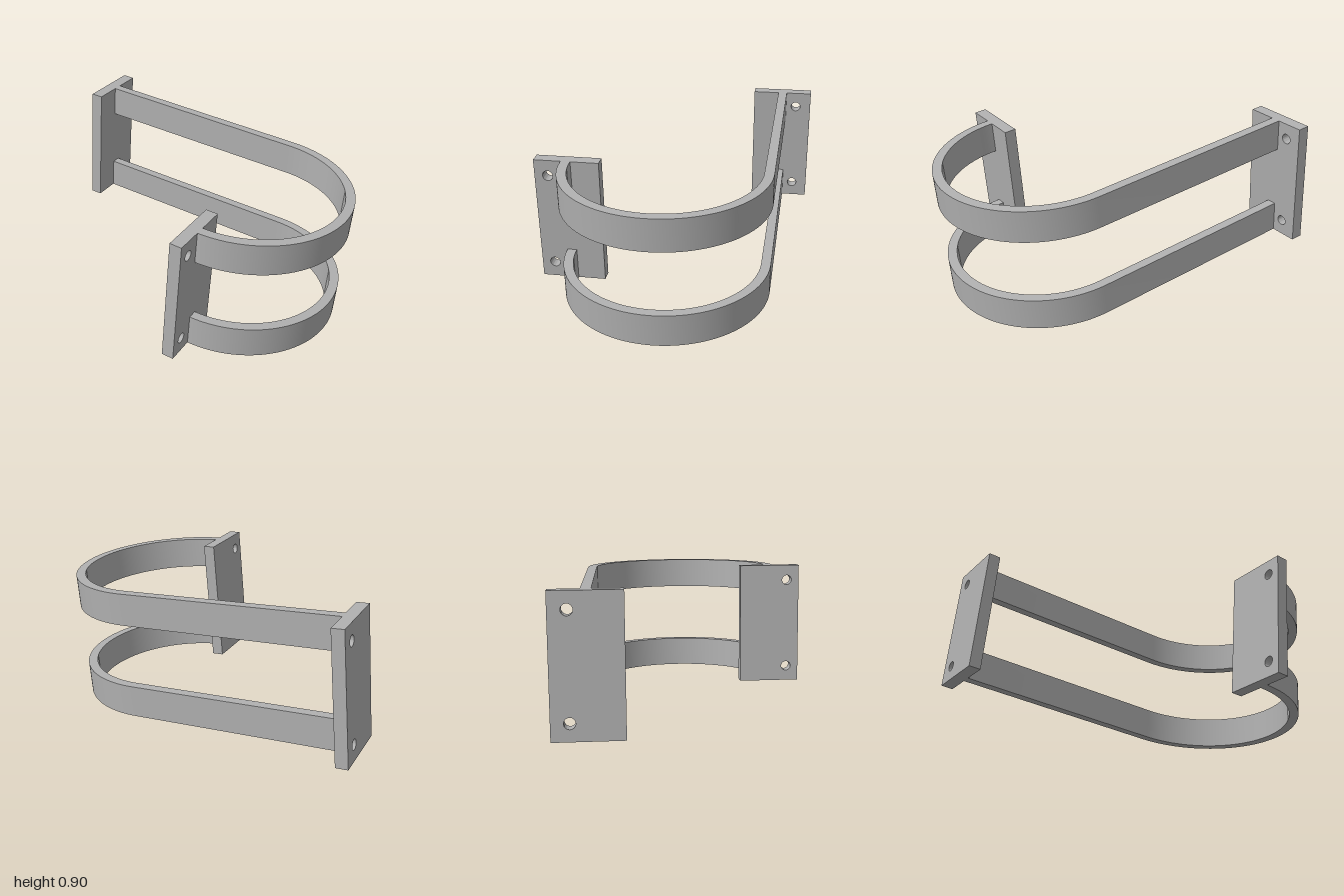
import * as THREE from 'three';
import { toCreasedNormals } from 'three/addons/utils/BufferGeometryUtils.js';

const HEIGHT = 0.75, BAND = 0.187, PLATE = 0.07;
const R_OUT = 0.593, R_IN = 0.538, BEND_X = 1.352;
const TILT = THREE.MathUtils.degToRad(4.5);

// Extrude with smooth curves and sharp edges
function extrude(shape, depth) {
  return new THREE.ExtrudeGeometry(shape, { depth, bevelEnabled: false, curveSegments: 48 });
}

// Hook-shaped strap: straight run along the back, then a half circle to the front
function strapGeometry() {
  const s = new THREE.Shape();
  s.moveTo(PLATE, R_IN);
  s.lineTo(BEND_X, R_IN);
  s.absarc(BEND_X, 0, R_IN, Math.PI / 2, -Math.PI / 2, true);
  s.lineTo(BEND_X, -R_OUT);
  s.absarc(BEND_X, 0, R_OUT, -Math.PI / 2, Math.PI / 2, false);
  s.lineTo(PLATE, R_OUT);
  s.closePath();
  return toCreasedNormals(extrude(s, BAND).rotateX(-Math.PI / 2), 0.5);
}

// Upright mounting plate between z0 and z1 with two screw holes
function plateGeometry(z0, z1, holeZ) {
  const s = new THREE.Shape();
  s.moveTo(-z1, 0);
  s.lineTo(-z0, 0);
  s.lineTo(-z0, HEIGHT);
  s.lineTo(-z1, HEIGHT);
  s.closePath();
  for (const y of [0.094, HEIGHT - 0.094]) {
    const hole = new THREE.Path();
    hole.absarc(-holeZ, y, 0.03, 0, Math.PI * 2, true);
    s.holes.push(hole);
  }
  return toCreasedNormals(extrude(s, PLATE).rotateY(Math.PI / 2), 0.5);
}

export function createModel() {
  const model = new THREE.Group();
  model.name = 'bracket';
  const grey = new THREE.MeshStandardMaterial({ color: 0xb0b0b0 });
  grey.name = 'grey metal';

  const add = (name, geometry, x, y) => {
    const mesh = new THREE.Mesh(geometry, grey);
    mesh.name = name;
    mesh.position.set(x, y, 0);
    body.add(mesh);
  };

  // The whole bracket leans slightly down toward the bend
  const body = new THREE.Group();
  body.name = 'tiltedBody';
  body.rotation.z = -TILT;
  body.position.set(-1, (BEND_X + R_OUT) * Math.sin(TILT), 0);
  model.add(body);

  const strap = strapGeometry();
  add('lowerStrap', strap, 0, 0);
  add('upperStrap', strap, 0, HEIGHT - BAND);
  add('backPlate', plateGeometry(-0.752, -0.378, -0.656), 0, 0);
  add('frontPlate', plateGeometry(0.376, 0.752, 0.675), BEND_X - PLATE, 0);
  return model;
}
